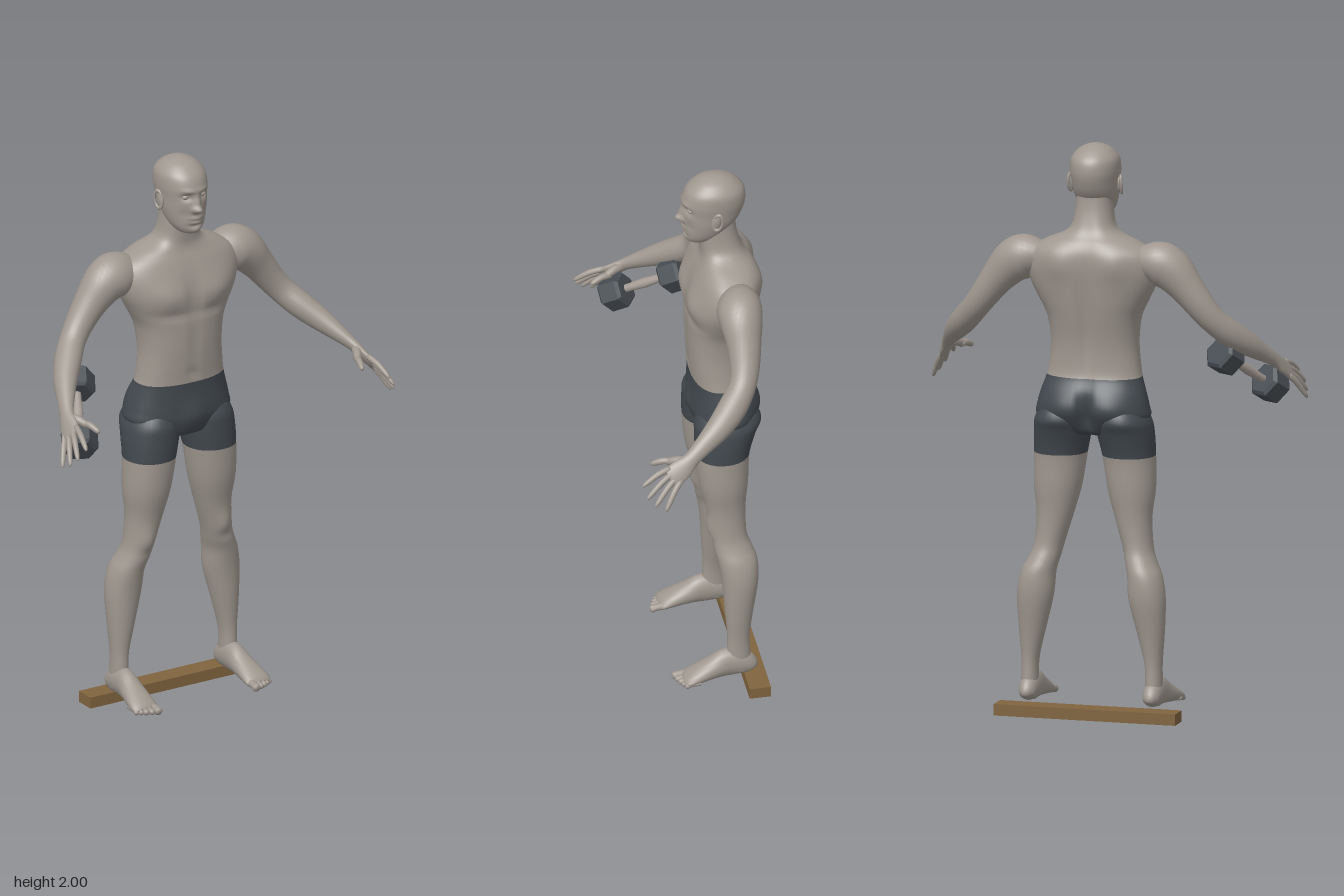
import * as THREE from 'three';

const material = (name, color) => Object.assign(new THREE.MeshStandardMaterial({ color }), { name });
const skin = material('skin', 0xa09890);
const cloth = material('shorts cloth', 0x43494f);
const iron = material('dumbbell iron', 0x474d53);
const steel = material('handle steel', 0xa39a93);
const wood = material('wood', 0x80643f);

const V = (x, y, z) => new THREE.Vector3(x, y, z);
const spow = (v, e) => Math.sign(v) * Math.abs(v) ** e;

// Smooth interpolation through rows of numbers
function resample(rows, steps) {
  const out = [], n = rows.length;
  for (let k = 0; k <= (n - 1) * steps; k++) {
    const i = Math.min(Math.floor(k / steps), n - 2), t = k / steps - i;
    const [a, b, c, d] = [i - 1, i, i + 1, i + 2].map(j => rows[Math.max(0, Math.min(n - 1, j))]);
    out.push(b.map((_, m) => 0.5 * (2 * b[m] + (c[m] - a[m]) * t
      + (2 * a[m] - 5 * b[m] + 4 * c[m] - d[m]) * t * t
      + (3 * b[m] - a[m] - 3 * c[m] + d[m]) * t ** 3)));
  }
  return out;
}

// Closed skin over a list of rings; paint picks a material index by height
function skinRings(rings, paint = () => 0) {
  const pos = [], lists = [[], []], n = rings[0].length, last = rings.length - 1;
  rings.flat().forEach(p => pos.push(p.x, p.y, p.z));
  const mean = r => r.reduce((s, p) => s.add(p), V(0, 0, 0)).divideScalar(n);
  const ends = [mean(rings[0]), mean(rings[last])];
  ends.forEach(p => pos.push(p.x, p.y, p.z));
  const base = n * (last + 1);
  for (let j = 0; j < n; j++) {
    const k = (j + 1) % n;
    lists[paint(ends[0].y)].push(base, k, j);
    lists[paint(ends[1].y)].push(base + 1, last * n + j, last * n + k);
    for (let i = 0; i < last; i++) {
      const a = i * n + j, b = i * n + k;
      lists[paint((rings[i][j].y + rings[i + 1][j].y) / 2)].push(a, b, b + n, a, b + n, a + n);
    }
  }
  // Turn the faces outward when the enclosed volume is negative
  const at = i => V(pos[3 * i], pos[3 * i + 1], pos[3 * i + 2]);
  const all = lists.flat();
  let volume = 0;
  for (let i = 0; i < all.length; i += 3) volume += at(all[i]).dot(at(all[i + 1]).cross(at(all[i + 2])));
  if (volume < 0) for (let i = 0; i < all.length; i += 3) [all[i], all[i + 1]] = [all[i + 1], all[i]];
  const geo = new THREE.BufferGeometry();
  geo.setAttribute('position', new THREE.Float32BufferAttribute(pos, 3));
  geo.setIndex(all);
  geo.addGroup(0, lists[0].length, 0);
  if (lists[1].length) geo.addGroup(lists[0].length, lists[1].length, 1);
  geo.computeVertexNormals();
  return geo;
}

// Upright form from rows [y, centre x, half width, front z, back z]
// Bumps are [x, y, radius x, radius y, depth, side]
function upright(rows, { bumps = [], seg = 32, steps = 4, e = 0.9, paint } = {}) {
  const rings = resample(rows, steps).map(([y, xc, w, zf, zb]) => Array.from({ length: seg }, (_, j) => {
    const a = j / seg * Math.PI * 2, c = Math.cos(a), s = Math.sin(a);
    const x = xc + w * spow(c, e);
    let z = (zf + zb) / 2 + (zf - zb) / 2 * spow(s, e);
    for (const [bx, by, rx, ry, depth, side] of bumps)
      z += side * depth * Math.max(0, side * s) * Math.exp(-(((Math.abs(x) - bx) / rx) ** 2) - ((y - by) / ry) ** 2);
    return V(x, y, z);
  }));
  return skinRings(rings, paint);
}

// Limb along a path from rows [x, y, z, radius along wide axis, other radius]
function limb(rows, wide, seg = 20, steps = 4) {
  const s = resample(rows, steps), c = s.map(r => V(r[0], r[1], r[2]));
  return skinRings(s.map((r, i) => {
    const t = c[Math.min(i + 1, c.length - 1)].clone().sub(c[Math.max(i - 1, 0)]).normalize();
    const u = wide.clone().addScaledVector(t, -wide.dot(t)).normalize(), v = t.clone().cross(u);
    return Array.from({ length: seg }, (_, j) => {
      const a = j / seg * Math.PI * 2;
      return c[i].clone().addScaledVector(u, Math.cos(a) * r[3]).addScaledVector(v, Math.sin(a) * r[4]);
    });
  }));
}

function mirrored(geo) {
  const g = geo.clone().scale(-1, 1, 1), ix = g.index.array;
  for (let i = 0; i < ix.length; i += 3) [ix[i], ix[i + 1]] = [ix[i + 1], ix[i]];
  return g;
}

export function createModel() {
  const model = new THREE.Group();
  const add = (name, geo, mat) => {
    const mesh = new THREE.Mesh(geo, mat);
    mesh.name = name;
    model.add(mesh);
    return mesh;
  };
  const both = (name, geo, mat) => {
    add('left ' + name, geo, mat);
    add('right ' + name, mirrored(geo), mat);
  };

  // Torso, neck and upper half of the shorts
  add('torso', upright([
    [0.985, 0, 0.08, -0.06, -0.17], [1.0, 0, 0.14, -0.035, -0.21], [1.05, 0, 0.198, -0.02, -0.24],
    [1.09, 0, 0.196, -0.018, -0.25], [1.14, 0, 0.183, -0.02, -0.24], [1.19, 0, 0.167, -0.02, -0.215],
    [1.25, 0, 0.158, -0.015, -0.21], [1.32, 0, 0.154, -0.01, -0.215], [1.4, 0, 0.165, -0.008, -0.23],
    [1.46, 0, 0.193, -0.008, -0.24], [1.52, 0, 0.222, -0.01, -0.248], [1.58, 0, 0.235, -0.022, -0.253],
    [1.63, 0, 0.22, -0.04, -0.25], [1.665, 0, 0.165, -0.055, -0.235], [1.69, 0, 0.105, -0.06, -0.215],
    [1.72, 0, 0.075, -0.058, -0.2], [1.78, 0, 0.064, -0.052, -0.185], [1.84, 0, 0.06, -0.06, -0.18],
  ], {
    seg: 64, e: 0.85, paint: y => (y < 1.19 ? 1 : 0),
    bumps: [
      [0.1, 1.52, 0.07, 0.05, 0.016, 1], [0, 1.52, 0.015, 0.08, -0.01, 1], [0.09, 1.45, 0.08, 0.015, -0.008, 1],
      [0, 1.33, 0.012, 0.09, -0.006, 1], [0, 1.225, 0.01, 0.012, -0.01, 1], [0, 1.06, 0.04, 0.05, 0.012, 1],
      [0, 1.42, 0.022, 0.2, -0.02, -1], [0.1, 1.6, 0.05, 0.06, 0.013, -1],
      [0.09, 1.08, 0.06, 0.05, 0.012, -1], [0, 1.06, 0.016, 0.07, -0.045, -1],
    ],
  }), [skin, cloth]);

  // Legs with the lower half of the shorts
  both('leg', upright([
    [1.12, 0.1, 0.06, -0.06, -0.21], [1.05, 0.108, 0.092, -0.022, -0.25], [1.0, 0.112, 0.099, -0.018, -0.232],
    [0.915, 0.122, 0.092, -0.02, -0.207], [0.8, 0.132, 0.083, -0.03, -0.2], [0.7, 0.14, 0.064, -0.052, -0.19],
    [0.6, 0.158, 0.052, -0.065, -0.19], [0.55, 0.172, 0.054, -0.073, -0.205], [0.5, 0.19, 0.06, -0.085, -0.222],
    [0.42, 0.2, 0.064, -0.097, -0.223], [0.3, 0.212, 0.047, -0.105, -0.203], [0.2, 0.22, 0.031, -0.112, -0.19],
    [0.13, 0.222, 0.029, -0.11, -0.192], [0.06, 0.222, 0.031, -0.115, -0.195],
  ], {
    paint: y => (y > 0.915 ? 1 : 0), e: 0.95,
    bumps: [[0.155, 0.62, 0.03, 0.035, 0.01, 1], [0.16, 0.575, 0.03, 0.02, -0.004, 1]],
  }), [skin, cloth]);

  // Feet: rows run heel to ball, then five toes
  both('foot', limb([
    [0.222, 0.062, -0.206, 0.01, 0.01], [0.222, 0.073, -0.196, 0.027, 0.03], [0.222, 0.09, -0.16, 0.034, 0.048],
    [0.222, 0.094, -0.11, 0.036, 0.054], [0.225, 0.08, -0.06, 0.042, 0.04], [0.23, 0.061, 0, 0.049, 0.027],
    [0.231, 0.05, 0.03, 0.049, 0.018], [0.231, 0.045, 0.043, 0.04, 0.01],
  ], V(1, 0, 0)), skin);
  [[0.2, 0.077, 0.014], [0.222, 0.071, 0.01], [0.24, 0.063, 0.01], [0.256, 0.054, 0.009], [0.27, 0.045, 0.009]]
    .forEach(([x, tip, r], i) => both('toe ' + (i + 1), limb([
      [x, 0.05, tip - 0.055, r, r], [x, 0.047, tip - 0.02, r, r * 0.9],
      [x, 0.042, tip - 0.006, r, r], [x, 0.04, tip, r * 0.4, r * 0.4],
    ], V(1, 0, 0), 12, 3), skin));

  // Arms flowing into the palms
  const across = V(0.43, -0.69, -0.6).normalize();
  both('arm', limb([
    [0.17, 1.595, -0.15, 0.05, 0.06], [0.235, 1.598, -0.149, 0.074, 0.08], [0.285, 1.575, -0.148, 0.074, 0.075],
    [0.34, 1.515, -0.147, 0.06, 0.059], [0.39, 1.45, -0.14, 0.051, 0.05], [0.43, 1.4, -0.122, 0.047, 0.046],
    [0.475, 1.352, -0.08, 0.05, 0.046], [0.52, 1.308, -0.025, 0.044, 0.04], [0.56, 1.265, 0.04, 0.033, 0.028],
    [0.585, 1.235, 0.085, 0.028, 0.02], [0.6, 1.21, 0.12, 0.037, 0.016], [0.613, 1.187, 0.158, 0.039, 0.012],
    [0.616, 1.182, 0.168, 0.028, 0.007],
  ], across, 28, 5), skin);

  // Fingers from the knuckle line to the tips, and the thumb
  const finger = (name, a, b, r) => {
    const at = t => a.clone().lerp(b, t).add(V(0, 0.008 * Math.sin(Math.PI * t), 0)).toArray();
    both(name, limb([[...at(0), r, r], [...at(0.45), r, r], [...at(0.88), r * 0.8, r * 0.75],
      [...at(1), r * 0.35, r * 0.3]], across, 12, 3), skin);
  };
  const knuckles = V(0.608, 1.196, 0.145);
  [['index finger', -0.028, V(0.618, 1.165, 0.262)], ['middle finger', -0.009, V(0.645, 1.13, 0.25)],
    ['ring finger', 0.01, V(0.66, 1.105, 0.225)], ['little finger', 0.028, V(0.67, 1.088, 0.19)]]
    .forEach(([name, k, tip]) => finger(name, knuckles.clone().addScaledVector(across, k), tip, 0.0105));
  finger('thumb tip', V(0.558, 1.215, 0.145), V(0.537, 1.198, 0.217), 0.012);
  finger('thumb base', V(0.59, 1.228, 0.09), V(0.55, 1.209, 0.17), 0.016);

  // Head with brow, eye sockets, nose, lips and chin
  add('head', upright([
    [1.74, 0, 0.02, -0.025, -0.07], [1.747, 0, 0.038, -0.012, -0.1], [1.765, 0, 0.055, -0.004, -0.13],
    [1.79, 0, 0.067, -0.002, -0.155], [1.83, 0, 0.077, 0.002, -0.19], [1.87, 0, 0.081, 0.003, -0.209],
    [1.91, 0, 0.085, 0.003, -0.217], [1.95, 0, 0.081, -0.012, -0.209], [1.98, 0, 0.057, -0.045, -0.178],
    [1.995, 0, 0.028, -0.08, -0.145], [2.0, 0, 0.004, -0.11, -0.118],
  ], {
    seg: 72, steps: 8, e: 0.95,
    bumps: [
      [0, 1.838, 0.014, 0.013, 0.024, 1], [0, 1.862, 0.01, 0.022, 0.013, 1], [0.013, 1.835, 0.008, 0.008, 0.008, 1],
      [0.034, 1.882, 0.018, 0.013, -0.014, 1], [0.028, 1.905, 0.025, 0.008, 0.005, 1],
      [0, 1.804, 0.024, 0.007, 0.009, 1], [0, 1.788, 0.02, 0.007, 0.009, 1],
      [0, 1.775, 0.025, 0.006, -0.005, 1], [0, 1.757, 0.02, 0.01, 0.006, 1], [0.045, 1.82, 0.015, 0.02, -0.005, 1],
    ],
  }), skin);
  both('eye', new THREE.SphereGeometry(0.012, 16, 12).scale(1.2, 0.8, 1).translate(0.033, 1.882, -0.021), skin);
  both('ear', new THREE.SphereGeometry(1, 16, 12).scale(0.009, 0.03, 0.017).rotateX(-0.2).translate(0.084, 1.857, -0.1), skin);
  both('ear rim', new THREE.TorusGeometry(0.021, 0.005, 8, 24).scale(0.8, 1.45, 1).rotateY(Math.PI / 2 - 0.35)
    .rotateX(-0.2).translate(0.09, 1.858, -0.104), skin);

  // Dumbbell beside the right hand
  const near = V(-0.558, 1.142, 0.125), far = V(-0.452, 1.268, -0.06), span = near.distanceTo(far);
  const dumbbell = new THREE.Group();
  dumbbell.name = 'dumbbell';
  const hex = new THREE.LatheGeometry([[0, -0.043], [0.052, -0.043], [0.064, -0.033], [0.064, 0.033], [0.052, 0.043], [0, 0.043]]
    .map(p => new THREE.Vector2(...p)), 6).toNonIndexed();
  hex.computeVertexNormals();
  for (const s of [-1, 1]) {
    const head = new THREE.Mesh(hex, iron);
    head.name = s < 0 ? 'near weight' : 'far weight';
    head.position.y = s * span / 2;
    dumbbell.add(head);
  }
  const grip = new THREE.Mesh(new THREE.LatheGeometry([[0.014, -span / 2], [0.014, -0.06], [0.018, 0], [0.014, 0.06], [0.014, span / 2]]
    .map(p => new THREE.Vector2(...p)), 20), steel);
  grip.name = 'grip';
  dumbbell.add(grip);
  dumbbell.position.copy(near).lerp(far, 0.5);
  dumbbell.quaternion.setFromUnitVectors(V(0, 1, 0), far.clone().sub(near).normalize());
  model.add(dumbbell);

  // Plank under the heels
  add('plank', new THREE.BoxGeometry(0.65, 0.04, 0.075).translate(0, 0.02, -0.207), wood);
  return model;
}
